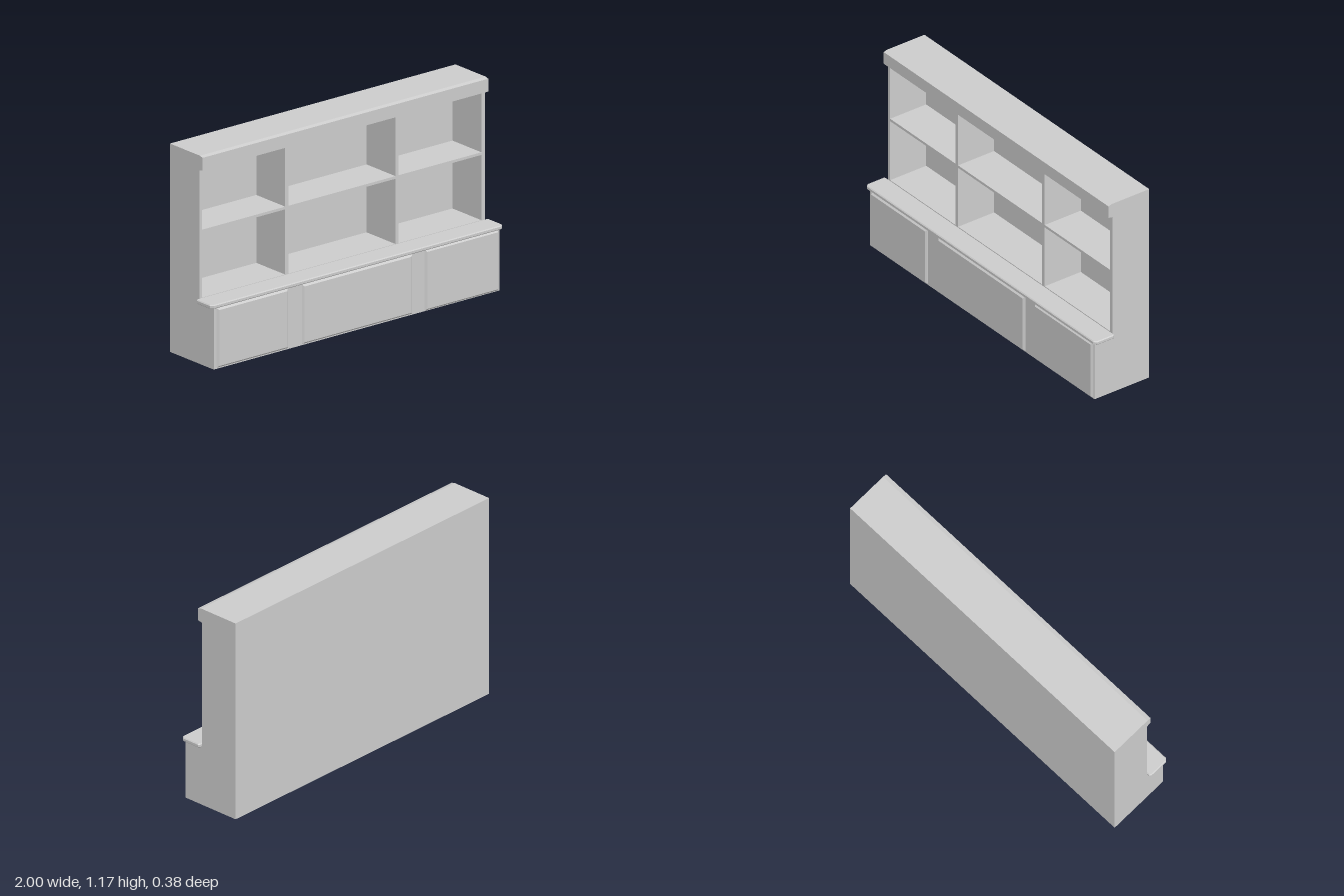
import * as THREE from 'three';

const material = new THREE.MeshStandardMaterial({ color: 0xcccccc, flatShading: true });
const LEFT = -0.975, RIGHT = 0.979, BACK = -0.188, FRONT = 0.055, TOP = 1.166;
const BASE_FRONT = 0.175, COUNTER_Y = 0.366;

function add(group, name, geometry) {
  const mesh = new THREE.Mesh(geometry, material);
  mesh.name = name;
  group.add(mesh);
  return mesh;
}

// Box given by its limits on each axis
function block(group, name, [x0, x1], [y0, y1], [z0, z1]) {
  const mesh = add(group, name, new THREE.BoxGeometry(x1 - x0, y1 - y0, z1 - z0));
  mesh.position.set((x0 + x1) / 2, (y0 + y1) / 2, (z0 + z1) / 2);
  return mesh;
}

const shapeOf = (points) => new THREE.Shape(points.map(([x, y]) => new THREE.Vector2(x, y)));

// Door panel with a chamfered rim, standing proud of the base
function door(group, x0, x1, y0, y1) {
  const b = 0.01;
  const shape = shapeOf([[x0 + b, y0 + b], [x1 - b, y0 + b], [x1 - b, y1 - b], [x0 + b, y1 - b]]);
  const geometry = new THREE.ExtrudeGeometry(shape, {
    depth: 0.004, bevelEnabled: true, bevelThickness: b, bevelSize: b, bevelSegments: 1,
  });
  geometry.translate(0, 0, 0.187 - 0.004 - b);
  add(group, 'door', geometry);
}

export function createModel() {
  const group = new THREE.Group();

  // Lower cabinet
  block(group, 'baseCabinet', [LEFT, RIGHT], [0, 0.345], [BACK, BASE_FRONT]);
  block(group, 'nicheFloor', [LEFT, RIGHT], [0.345, COUNTER_Y], [BACK, FRONT]);
  door(group, -0.957, -0.47, 0.007, 0.34);
  door(group, -0.373, 0.379, 0.007, 0.34);
  door(group, 0.466, 0.97, 0.004, 0.343);

  // Counter slab with clipped corners and chamfered edges
  const b = 0.005, c = 0.013, x = 1 - b, z0 = FRONT + b, z1 = 0.188 - b;
  const plan = shapeOf([
    [-x + c, -z1], [x - c, -z1], [x, -z1 + c], [x, -z0 - 0.006], [x - 0.006, -z0],
    [-x + 0.006, -z0], [-x, -z0 - 0.006], [-x, -z1 + c],
  ]);
  const counter = new THREE.ExtrudeGeometry(plan, {
    depth: COUNTER_Y - 0.343 - 2 * b, bevelEnabled: true, bevelThickness: b, bevelSize: b, bevelSegments: 1,
  });
  counter.rotateX(-Math.PI / 2).translate(0, 0.343 + b, 0);
  add(group, 'counter', counter);

  // Upper shelving: back, uprights, shelf and top
  block(group, 'backPanel', [LEFT, RIGHT], [COUNTER_Y, TOP], [BACK, BACK + 0.004]);
  const uprights = [[LEFT, -0.955], [-0.387, -0.365], [0.367, 0.389], [0.955, RIGHT]];
  uprights.forEach((span, i) => {
    const name = i === 0 || i === 3 ? 'sidePanel' : 'divider';
    block(group, name, span, [COUNTER_Y, 1.075], [BACK + 0.004, FRONT]);
    if (i < 3) {
      block(group, 'shelf', [span[1], uprights[i + 1][0]], [0.731, 0.746], [BACK + 0.004, FRONT]);
    }
  });
  block(group, 'topPanel', [LEFT, RIGHT], [1.075, TOP], [BACK + 0.004, FRONT]);

  // Overhanging crown moulding, its profile swept across the full width
  const profile = shapeOf([
    [-FRONT, TOP], [-FRONT, 1.083], [-0.083, 1.088], [-0.083, 1.16], [-0.06, TOP],
  ]);
  const crown = new THREE.ExtrudeGeometry(profile, { depth: RIGHT - LEFT, bevelEnabled: false });
  crown.rotateY(Math.PI / 2).translate(LEFT, 0, 0);
  add(group, 'crown', crown);

  return group;
}
